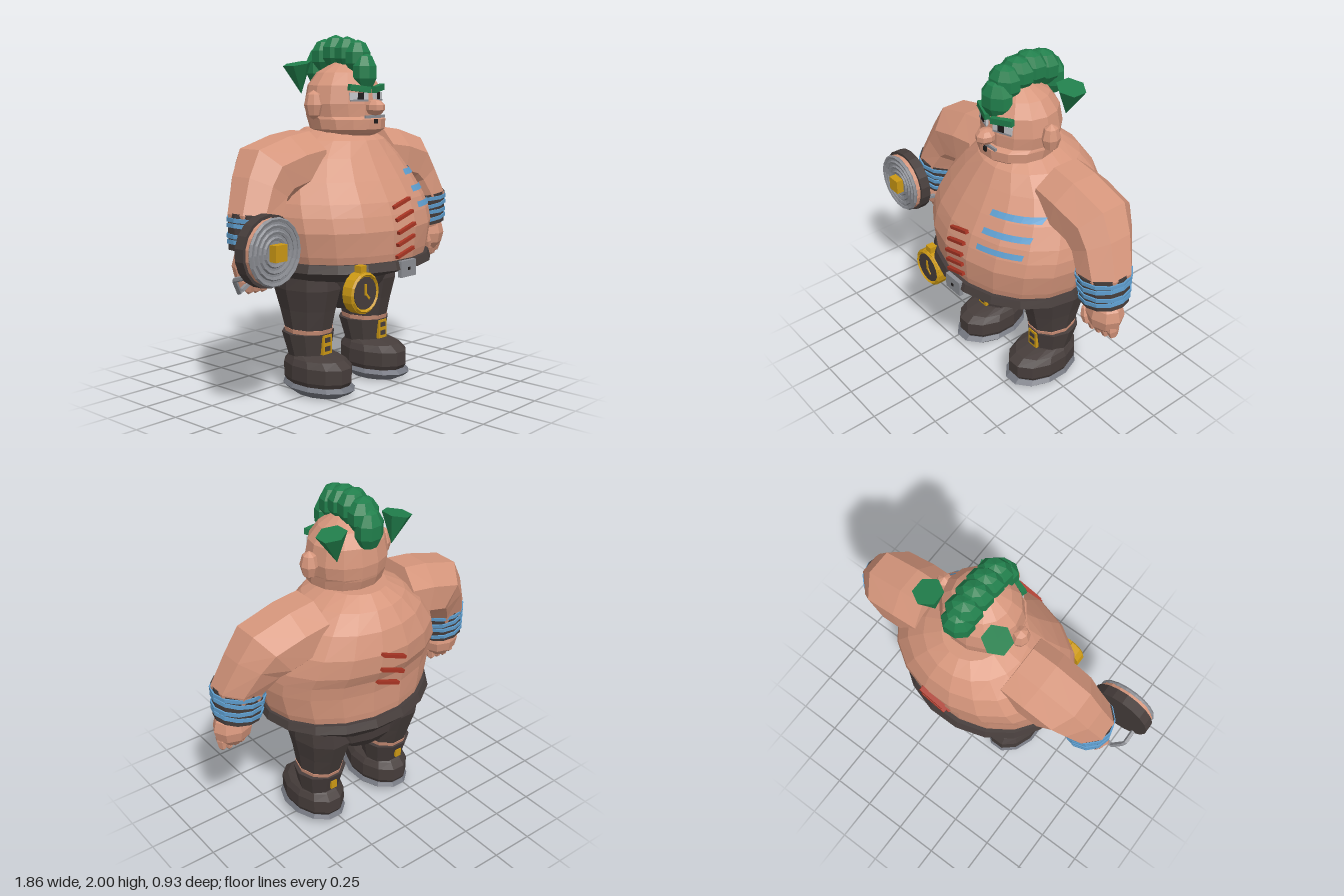
import * as THREE from 'three';

const mat = (name, color, extra = {}) => {
  const m = new THREE.MeshStandardMaterial({ color, flatShading: true, side: THREE.DoubleSide, ...extra });
  m.name = name;
  return m;
};

export function createModel() {
  const skin = mat('skin', 0xd6967c), dark = mat('dark leather', 0x463d3b), green = mat('green hair', 0x217f4c);
  const blue = mat('blue paint', 0x5f9fd0), red = mat('red scar', 0xa83524), yellow = mat('brass', 0xcb9814);
  const grey = mat('steel', 0x8c8e94), black = mat('black', 0x1d1a1a), white = mat('eye white', 0xc4c6ca);
  const soleGrey = mat('sole grey', 0x73767f);

  const model = new THREE.Group();
  const figure = new THREE.Group();
  figure.name = 'figure';
  figure.position.x = 0.06;
  model.add(figure);

  const add = (name, geo, material, pos = [0, 0, 0], rot = [0, 0, 0], scale = [1, 1, 1], parent = figure) => {
    const m = new THREE.Mesh(geo, material);
    m.name = name;
    m.position.set(...pos);
    m.rotation.set(...rot);
    m.scale.set(...scale);
    parent.add(m);
    return m;
  };
  const box = (w, h, d) => new THREE.BoxGeometry(w, h, d);
  const ball = (w = 8, h = 5) => new THREE.SphereGeometry(1, w, h);

  // Skin a list of equal-length point rings and close both ends
  function loft(rings) {
    const n = rings[0].length, p = rings.flat(2), idx = [];
    for (let i = 0; i < rings.length - 1; i++)
      for (let j = 0; j < n; j++) {
        const a = i * n + j, b = i * n + (j + 1) % n;
        idx.push(a, b, b + n, a, b + n, a + n);
      }
    const last = (rings.length - 1) * n;
    for (let j = 1; j < n - 1; j++) idx.push(0, j + 1, j, last, last + j, last + j + 1);
    const g = new THREE.BufferGeometry();
    g.setAttribute('position', new THREE.Float32BufferAttribute(p, 3));
    g.setIndex(idx);
    g.computeVertexNormals();
    return g;
  }
  // Upright body from rows of [y, half width, front z, back z]
  const stack = (rows, n = 16, cx = 0) => loft(rows.map(([y, rx, f, b]) =>
    Array.from({ length: n }, (_, j) => {
      const t = (j + 0.5) / n * Math.PI * 2, k = 1 / Math.cos(Math.PI / n);
      return [cx + Math.sin(t) * rx * k, y, (f + b) / 2 + Math.cos(t) * (f - b) / 2 * k];
    })));
  // Front or back surface depth of such a body
  function depth(rows, x, y, sign = 1) {
    const i = Math.max(1, rows.findIndex(r => r[0] >= y)), A = rows[i - 1], B = rows[i];
    const [, rx, f, b] = A.map((v, k) => v + (B[k] - v) * (y - A[0]) / (B[0] - A[0]));
    return (f + b) / 2 + sign * (f - b) / 2 * Math.sqrt(Math.max(0, 1 - (x / rx) ** 2));
  }

  // Torso and belly
  const torso = [[0.72, 0.46, 0.40, -0.37], [0.82, 0.50, 0.42, -0.38], [0.95, 0.53, 0.43, -0.385], [1.03, 0.53, 0.41, -0.40],
    [1.10, 0.515, 0.385, -0.435], [1.21, 0.47, 0.32, -0.445], [1.33, 0.385, 0.245, -0.41], [1.42, 0.28, 0.19, -0.35], [1.48, 0.17, 0.11, -0.27]];
  add('torso', stack(torso, 18), skin);

  // Belt, buckle and trousers
  add('belt', stack([[0.64, 0.34, 0.17, -0.33], [0.70, 0.45, 0.36, -0.38], [0.735, 0.515, 0.45, -0.42], [0.78, 0.50, 0.435, -0.40]], 18), dark);
  add('beltBuckle', box(0.125, 0.09, 0.025), grey, [0, 0.735, 0.445]);
  add('buckleStud', box(0.015, 0.015, 0.008), black, [0, 0.735, 0.459]);
  add('trouserSeat', stack([[0.45, 0.07, 0.04, -0.15], [0.51, 0.19, 0.10, -0.27], [0.59, 0.31, 0.16, -0.33], [0.67, 0.36, 0.19, -0.34]]), dark);

  // Legs and boots
  for (const s of [-1, 1]) {
    const x = s * 0.24;
    add('trouserLeg', stack([[0.365, 0.12, 0.07, -0.21], [0.48, 0.135, 0.095, -0.25], [0.60, 0.16, 0.125, -0.29], [0.70, 0.16, 0.12, -0.28]], 10, x), dark);
    add('shin', stack([[0.30, 0.11, 0.05, -0.19], [0.37, 0.124, 0.075, -0.215]], 10, x), skin);
    add('bootCuff', stack([[0.19, 0.11, 0.05, -0.17], [0.345, 0.142, 0.07, -0.22]], 10, x), dark);
    add('boot', stack([[0.06, 0.135, 0.20, -0.20], [0.09, 0.147, 0.22, -0.22], [0.17, 0.147, 0.22, -0.22], [0.205, 0.13, 0.17, -0.19], [0.225, 0.11, 0.07, -0.17]], 12, x), dark);
    add('bootSole', stack([[0, 0.11, 0.17, -0.15], [0.02, 0.135, 0.21, -0.19], [0.045, 0.157, 0.24, -0.225], [0.065, 0.14, 0.21, -0.21]], 12, x), soleGrey);
    add('bootBuckle', box(0.07, 0.11, 0.02), yellow, [x, 0.285, 0.066]);
    for (const y of [0.262, 0.312]) add('buckleHole', box(0.04, 0.027, 0.006), dark, [x, y, 0.077]);
    add('backStud', box(0.04, 0.05, 0.015), yellow, [x, 0.28, -0.205]);
  }

  // Arms: rings of [x, y, z, direction x, direction y, radius, z radius]
  const arm = [[0.27, 1.31, -0.07, 1, -0.22, 0.17, 0.18], [0.42, 1.29, -0.07, 1, -0.22, 0.17, 0.185], [0.57, 1.25, -0.07, 0.8, -0.6, 0.18, 0.18],
    [0.63, 1.18, -0.05, 0.5, -0.86, 0.15, 0.16], [0.70, 1.05, -0.01, 0.15, -1, 0.14, 0.14], [0.72, 0.85, 0, 0.1, -1, 0.09, 0.09]];
  for (const s of [-1, 1]) {
    const rings = arm.map(([x, y, z, dx, dy, r, rz]) => {
      const l = Math.hypot(dx, dy);
      const ring = Array.from({ length: 8 }, (_, j) => {
        const t = (j + 0.5) / 8 * Math.PI * 2, c = Math.cos(t) * r * 1.08;
        return [s * (x - dy / l * c), y + dx / l * c, z + Math.sin(t) * rz * 1.08];
      });
      return s < 0 ? ring.reverse() : ring;
    });
    add('arm', loft(rings), skin);

    // Wrist wrap with painted bands
    const wrist = new THREE.Group();
    wrist.name = 'wristWrap';
    wrist.position.set(s * 0.71, 0.965, -0.005);
    wrist.rotation.z = s * 0.12;
    figure.add(wrist);
    add('wrap', new THREE.CylinderGeometry(0.147, 0.13, 0.19, 12), dark, [0, 0, 0], [0, 0, 0], [1, 1, 1], wrist);
    for (let i = 0; i < 4; i++)
      add('wrapBand', new THREE.CylinderGeometry(0.154 - i * 0.004, 0.152 - i * 0.004, 0.022, 12), blue,
        [0, 0.068 - i * 0.042, 0], [0, 0, s * 0.05 * (i % 2 ? 1 : -1)], [1, 1, 1], wrist);

    // Hand with curled fingers
    add('palm', ball(8, 6), skin, [s * 0.745, 0.80, 0.012], [0, 0, 0], [0.115, 0.115, 0.095]);
    for (let i = 0; i < 4; i++)
      add('finger', ball(6, 4), skin, [s * (0.69 + i * 0.043), 0.715 + (i === 3 ? 0.015 : 0), 0.035 - i * 0.006], [0.15, 0, 0], [0.026, 0.065, 0.04]);
    add('thumb', ball(6, 4), skin, [s * 0.665, 0.76, 0.065], [0, 0, s * 0.2], [0.03, 0.065, 0.035]);
  }

  // Head, ears and nose
  const head = [[1.43, 0.12, 0.13, -0.14], [1.46, 0.17, 0.19, -0.17], [1.48, 0.205, 0.212, -0.2], [1.535, 0.213, 0.215, -0.22], [1.55, 0.213, 0.18, -0.223],
    [1.62, 0.225, 0.18, -0.23], [1.72, 0.205, 0.165, -0.215], [1.79, 0.15, 0.12, -0.17], [1.845, 0.06, 0.05, -0.08]];
  add('head', stack(head, 14), skin);
  add('nose', ball(8, 5), skin, [0, 1.60, 0.21], [0, 0, 0], [0.052, 0.045, 0.062]);
  add('mouth', box(0.16, 0.016, 0.012), grey, [0, 1.55, 0.208]);
  add('chinTuft', box(0.025, 0.025, 0.012), black, [0, 1.525, 0.216]);
  for (const s of [-1, 1]) {
    add('ear', ball(8, 4), skin, [s * 0.242, 1.615, -0.025], [0, 0, 0], [0.05, 0.08, 0.055]);
    const x = s * 0.078, z = depth(head, 0.078, 1.66), turn = s * 0.35;
    add('eye', box(0.115, 0.042, 0.014), white, [x, 1.66, z], [0, turn, 0]);
    add('pupil', box(0.036, 0.038, 0.008), black, [x - s * 0.004, 1.662, z + 0.01], [0, turn, 0]);
    add('lowerLid', box(0.11, 0.01, 0.02), grey, [x, 1.638, z], [0, turn, 0]);
    add('eyebrow', box(0.13, 0.034, 0.03), green, [x, 1.703, z + 0.004], [0, turn, s * 0.12]);
    add('hairTuft', new THREE.ConeGeometry(0.082, 0.17, 6), green, [s * 0.195, 1.755, -0.18], [Math.PI, 0, s * 0.2]);
  }

  // Mohawk: overlapping faceted clumps of [y, z, half height, half depth, half width]
  for (const [y, z, ry, rz, rx] of [[1.79, 0.135, 0.11, 0.07, 0.095], [1.87, 0.085, 0.10, 0.075, 0.095], [1.895, 0.005, 0.095, 0.075, 0.1],
    [1.9, -0.08, 0.1, 0.08, 0.1], [1.88, -0.165, 0.1, 0.08, 0.1], [1.82, -0.215, 0.115, 0.075, 0.09]])
    add('mohawkClump', ball(8, 5), green, [0, y, z], [0, Math.PI / 8, 0], [rx, ry, rz]);

  // Belly and back scars
  for (let i = 0; i < 5; i++) {
    const y = 0.82 + i * 0.067;
    add('bellyScar', box(0.145, 0.018, 0.022), red, [0, y, depth(torso, 0, y) + 0.01], [0, 0, 0.28]);
  }
  for (let i = 0; i < 3; i++) {
    const y = 1.0 + i * 0.095;
    add('backScar', box(0.16, 0.018, 0.03), red, [0.02, y, depth(torso, 0, y, -1) - 0.012], [0, 0, 0.4]);
  }

  // Painted chest stripes that follow the belly
  for (const y of [1.065, 1.15, 1.24]) {
    const g = new THREE.PlaneGeometry(0.24, 0.03, 6, 1), p = g.attributes.position;
    for (let i = 0; i < p.count; i++) {
      const px = p.getX(i) + 0.27, py = p.getY(i) + y;
      p.setXYZ(i, px, py, depth(torso, px, py) + 0.018);
    }
    add('chestStripe', g, blue);
  }

  // Hanging watch on the belt
  const watch = new THREE.Group();
  watch.name = 'watch';
  watch.position.set(-0.25, 0.64, 0.38);
  model.add(watch);
  const disc = (r, d, n = 16) => new THREE.CylinderGeometry(r, r, d, n).rotateX(Math.PI / 2);
  const part = (g, name, geo, m, pos, rz = 0) => add(name, geo, m, pos, [0, 0, rz], [1, 1, 1], g);
  part(watch, 'watchCase', disc(0.112, 0.06), yellow, [0, 0, 0]);
  part(watch, 'watchFace', disc(0.088, 0.008), dark, [0, 0, 0.03]);
  part(watch, 'watchRim', new THREE.TorusGeometry(0.1, 0.012, 4, 16), yellow, [0, 0, 0.028]);
  part(watch, 'longHand', box(0.014, 0.06, 0.006), yellow, [0, 0.02, 0.036]);
  part(watch, 'shortHand', box(0.012, 0.045, 0.006), yellow, [0.014, -0.016, 0.036], 0.75);
  part(watch, 'watchKnob', box(0.045, 0.04, 0.045), yellow, [0, 0.125, 0]);

  // Round weapon held in the right hand
  const weapon = new THREE.Group();
  weapon.name = 'weapon';
  weapon.position.set(-0.75, 0.905, 0);
  model.add(weapon);
  part(weapon, 'weaponDrum', disc(0.188, 0.06, 18), dark, [0, 0, 0.19]);
  part(weapon, 'weaponInlay', disc(0.172, 0.03, 18), skin, [0, 0, 0.23]);
  part(weapon, 'weaponPlate', disc(0.172, 0.014, 18), grey, [0, 0, 0.248]);
  for (const r of [0.07, 0.102, 0.134, 0.166])
    part(weapon, 'weaponRing', new THREE.TorusGeometry(r, 0.012, 5, 18), grey, [0, 0, 0.253]);
  part(weapon, 'weaponHub', box(0.08, 0.085, 0.05), yellow, [0, 0, 0.275]);

  // Bent handle pipe
  const pts = [[-0.12, -0.12, 0.17], [-0.12, -0.145, 0.08], [-0.06, -0.225, 0.05], [0.12, -0.11, 0.06], [0.12, -0.08, 0.17]].map(a => new THREE.Vector3(...a));
  const path = new THREE.CurvePath();
  for (let i = 0; i < pts.length - 1; i++) path.add(new THREE.LineCurve3(pts[i], pts[i + 1]));
  part(weapon, 'weaponHandle', new THREE.TubeGeometry(path, 24, 0.014, 5), grey, [0, 0, 0]);

  return model;
}
